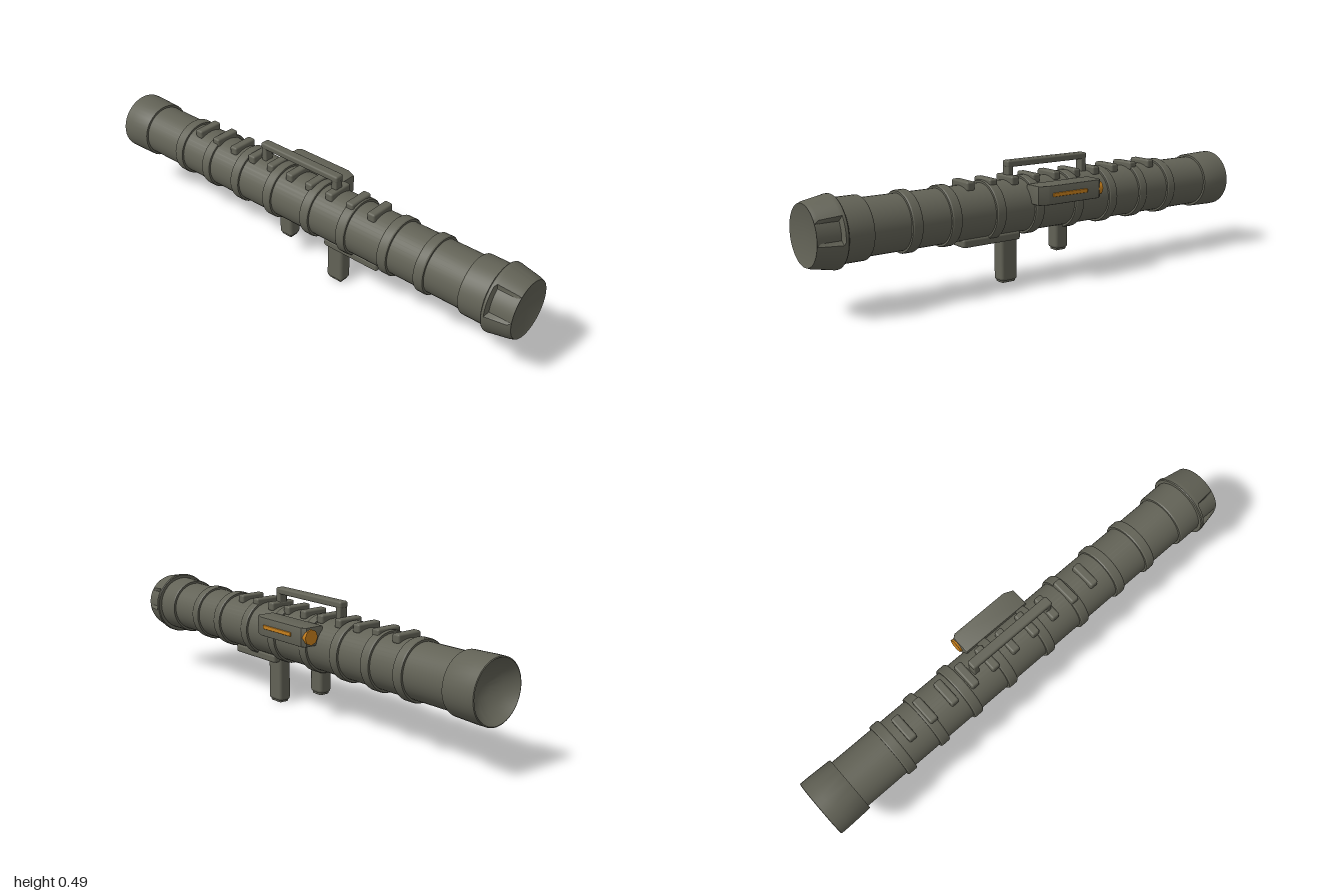
import * as THREE from 'three';
import { toCreasedNormals } from 'three/addons/utils/BufferGeometryUtils.js';
import { RoundedBoxGeometry } from 'three/addons/geometries/RoundedBoxGeometry.js';

const CX = -0.018, CY = 0.305; // tube axis

export function createModel() {
  const model = new THREE.Group();
  const olive = new THREE.MeshStandardMaterial({ color: 0x626256 });
  olive.name = 'olive drab';
  const amber = new THREE.MeshStandardMaterial({ color: 0xc8801c });
  amber.name = 'amber';

  const add = (name, geometry, material = olive) => {
    const mesh = new THREE.Mesh(geometry, material);
    mesh.name = name;
    model.add(mesh);
    return mesh;
  };

  // Turned part around the tube axis, profile given as [radius, z], back to front
  const turned = (name, profile, segments = 40, shape = null) => {
    const geo = new THREE.LatheGeometry(profile.map(([r, z]) => new THREE.Vector2(r, z)), segments);
    geo.rotateX(Math.PI / 2);
    if (shape) shape(geo.attributes.position);
    geo.translate(CX, CY, 0);
    return add(name, toCreasedNormals(geo, 0.5));
  };

  // Rounded block given by its limits
  const block = (name, x0, x1, y0, y1, z0, z1, radius, material = olive) => {
    const mesh = add(name, new RoundedBoxGeometry(x1 - x0, y1 - y0, z1 - z0, 2, radius), material);
    mesh.position.set((x0 + x1) / 2, (y0 + y1) / 2, (z0 + z1) / 2);
    return mesh;
  };

  // Main tube
  turned('tube', [[0.107, -0.88], [0.107, 0.82]]);

  // Reinforcing rings
  for (const z of [-0.65, -0.485, -0.315, -0.135, 0.065, 0.248, 0.447, 0.613]) {
    turned('ring', [[0.105, z - 0.021], [0.115, z - 0.021], [0.118, z - 0.016],
      [0.118, z + 0.016], [0.115, z + 0.021], [0.105, z + 0.021]]);
  }

  // Rear flare with a hollow bowl
  turned('rearCup', [[0, -0.93], [0.04, -0.936], [0.08, -0.956], [0.105, -0.982], [0.117, -1],
    [0.121, -0.998], [0.121, -0.96], [0.118, -0.865], [0.116, -0.86], [0.1, -0.86]]);

  // Front collar
  turned('frontCollar', [[0.1, 0.785], [0.116, 0.785], [0.119, 0.79], [0.119, 0.905], [0.1, 0.905]]);

  // Muzzle head with a recess pressed into each upper flank
  turned('muzzleHead', [[0.1, 0.89], [0.132, 0.89], [0.135, 0.894], [0.135, 0.904], [0.133, 0.91],
    [0.119, 0.985], [0.113, 1], [0.1, 0.996], [0, 0.99]], 72, (pos) => {
    for (let i = 0; i < pos.count; i++) {
      const x = pos.getX(i), y = pos.getY(i), z = pos.getZ(i);
      const angle = THREE.MathUtils.radToDeg(Math.atan2(y, Math.abs(x)));
      const limits = x < 0 ? [2, 52] : [-8, 32];
      if (z > 0.908 && z < 0.99 && angle > limits[0] && angle < limits[1]) {
        const k = 0.112 / Math.hypot(x, y);
        pos.setXY(i, x * k, y * k);
      }
    }
  });

  // Row of rail pads along the top
  for (let i = 0; i < 10; i++) {
    const z = -0.58 + i * 0.103;
    block('railPad', CX - 0.056, CX + 0.056, 0.395, 0.431, z - 0.018, z + 0.018, 0.008);
  }

  // Carrying handle: bar with two posts
  block('handleBar', CX - 0.02, CX + 0.02, 0.461, 0.488, -0.248, 0.152, 0.008);
  for (const z of [0.137, -0.233]) {
    block('handlePost', CX - 0.019, CX + 0.019, 0.395, 0.478, z - 0.013, z + 0.013, 0.005);
  }

  // Sight housing on the left flank, chamfered at its outer ends
  const side = new THREE.Shape([[0.06, -0.203], [0.133, -0.203], [0.143, -0.19], [0.143, 0.06],
    [0.128, 0.096], [0.06, 0.096]].map(([x, z]) => new THREE.Vector2(x, -z)));
  const housing = new THREE.ExtrudeGeometry(side, {
    depth: 0.066, bevelEnabled: true, bevelThickness: 0.005, bevelSize: 0.004, bevelSegments: 2,
  });
  housing.rotateX(-Math.PI / 2);
  housing.translate(0, 0.328, 0);
  add('sightHousing', toCreasedNormals(housing, 0.5));
  block('sightStripe', 0.144, 0.152, 0.354, 0.37, -0.13, 0.042, 0.003, amber);

  // Rear eyepiece
  const eyepiece = add('eyepiece', new THREE.CylinderGeometry(0.029, 0.031, 0.024, 8), amber);
  eyepiece.rotation.x = Math.PI / 2;
  eyepiece.position.set(0.116, 0.361, -0.203);

  // Grips below the tube, with a mounting plate for the front one
  block('gripPlate', CX - 0.056, CX + 0.056, 0.177, 0.212, 0.118, 0.385, 0.01);
  const grip = (name, y0, z0, z1) => {
    block(name, CX - 0.029, CX + 0.029, y0 + 0.008, 0.215, z0, z1, 0.013);
    block(name + 'Base', CX - 0.022, CX + 0.022, y0, y0 + 0.05, z0 + 0.008, z1 - 0.008, 0.005);
  };
  grip('frontGrip', 0, 0.113, 0.192);
  grip('rearGrip', 0.093, -0.146, -0.08);

  return model;
}
